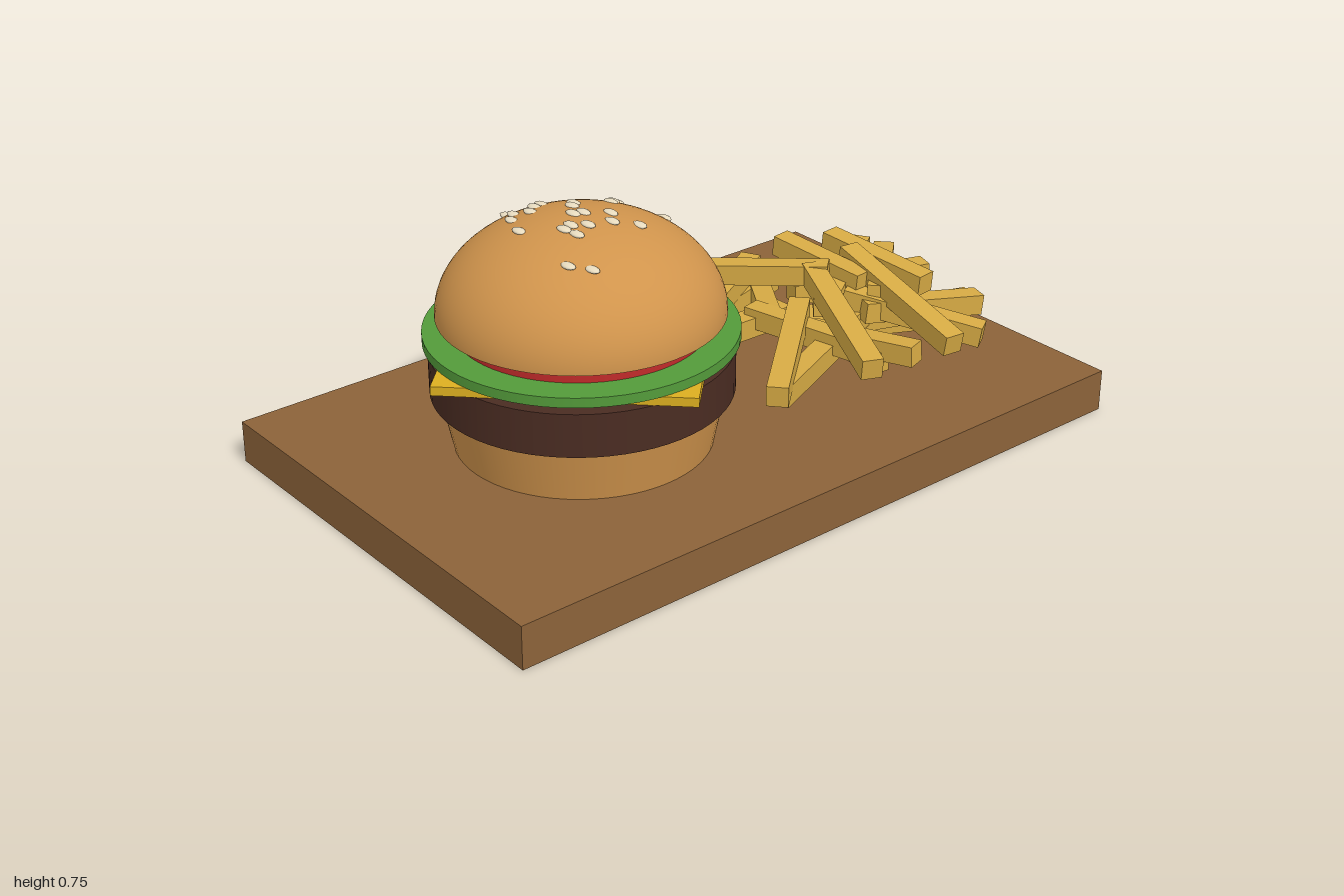
import * as THREE from 'three';

const BX = -0.335; // burger axis
const mat = (color, flatShading = false) => new THREE.MeshStandardMaterial({ color, flatShading });

export function createModel() {
  const model = new THREE.Group();
  const burger = new THREE.Group();
  burger.name = 'burger';
  burger.position.x = BX;

  const add = (parent, name, geometry, material, x = 0, y = 0, z = 0) => {
    const mesh = new THREE.Mesh(geometry, material);
    mesh.name = name;
    mesh.position.set(x, y, z);
    parent.add(mesh);
    return mesh;
  };
  // Round layer between two heights
  const layer = (name, material, rTop, rBottom, y0, y1) =>
    add(burger, name, new THREE.CylinderGeometry(rTop, rBottom, y1 - y0, 64), material, 0, (y0 + y1) / 2);

  // Serving board
  add(model, 'board', new THREE.BoxGeometry(2, 0.12, 1.27), mat(0x8b6239), 0, 0.06, 0);

  // Burger layers from the bottom up
  const bun = mat(0xd0944c);
  layer('bottomBun', bun, 0.375, 0.345, 0.12, 0.27);
  layer('patty', mat(0x4a2c22), 0.4, 0.4, 0.27, 0.39);
  const cheese = add(burger, 'cheese', new THREE.BoxGeometry(0.667, 0.025, 0.667), mat(0xdcae20), 0, 0.403, 0);
  cheese.rotation.y = Math.PI / 4;
  layer('lettuce', mat(0x539a3a), 0.413, 0.413, 0.415, 0.442);
  layer('tomato', mat(0xc02a2a), 0.333, 0.333, 0.442, 0.485);

  // Domed top bun with a flat underside
  const R = 0.378, H = 0.263, Y = 0.484;
  const dome = new THREE.SphereGeometry(R, 64, 24, 0, Math.PI * 2, 0, Math.PI / 2);
  dome.scale(1, H / R, 1);
  add(burger, 'topBun', dome, bun, 0, Y, 0);
  add(burger, 'topBunBase', new THREE.CircleGeometry(R, 64), bun, 0, Y, 0).rotation.x = Math.PI / 2;

  // Sesame seeds lying level on the dome, placed by x, z
  const seeds = [
    [-0.37, -0.27], [-0.41, -0.18], [-0.445, -0.14], [-0.39, -0.135], [-0.355, -0.165], [-0.33, -0.17],
    [-0.48, -0.06], [-0.285, -0.09], [-0.305, -0.07], [-0.34, -0.02], [-0.315, -0.01], [-0.41, 0.035],
    [-0.385, 0.03], [-0.4, 0.075], [-0.35, 0.055], [-0.255, 0.025], [-0.285, 0.07], [-0.225, 0.105],
    [-0.485, 0.15], [-0.445, 0.195], [-0.18, -0.07], [-0.15, -0.1], [-0.12, -0.12], [-0.105, -0.15], [-0.06, 0],
  ];
  const seedGeometry = new THREE.SphereGeometry(1, 12, 8).scale(0.015, 0.007, 0.025);
  const seedMaterial = mat(0xe8dcc0);
  for (const [x, z] of seeds) {
    const dx = x - BX;
    const y = Y + H * Math.sqrt(1 - (dx * dx + z * z) / (R * R));
    add(burger, 'sesameSeed', seedGeometry, seedMaterial, dx, y, z);
  }
  model.add(burger);

  // Pile of fries, each a bar between two end points: x, y, z, x, y, z
  const fries = new THREE.Group();
  fries.name = 'fries';
  const bars = [
    [0.07, 0.21, -0.1, 0.54, 0.25, -0.33],
    [0.14, 0.17, -0.2, 0.6, 0.19, -0.31],
    [0.6, 0.18, -0.39, 0.4, 0.2, -0.09],
    [0.32, 0.3, -0.29, 0.56, 0.32, -0.02],
    [0.58, 0.33, -0.25, 0.62, 0.3, 0.06],
    [0.72, 0.24, -0.22, 0.48, 0.26, 0.05],
    [0.8, 0.3, -0.14, 0.52, 0.26, 0.03],
    [0.9, 0.25, -0.14, 0.62, 0.28, 0.12],
    [0.49, 0.25, -0.1, 0.9, 0.25, 0.03],
    [0.58, 0.24, 0.1, 0.94, 0.2, 0.21],
    [0.08, 0.21, 0.3, 0.46, 0.24, -0.03],
    [0.33, 0.25, 0.4, 0.53, 0.32, -0.06],
    [0.62, 0.24, 0.42, 0.68, 0.33, -0.07],
    [0.79, 0.2, 0.37, 0.58, 0.26, 0.03],
    [0.08, 0.19, -0.12, 0.5, 0.17, -0.14],
    [0.38, 0.2, -0.15, 0.46, 0.2, 0.22],
    [0.5, 0.16, 0.26, 0.54, 0.16, -0.1],
    [0.84, 0.16, 0.14, 0.46, 0.16, -0.05],
    [0.9, 0.19, -0.05, 0.48, 0.2, 0.1],
    [0.14, 0.17, 0.24, 0.52, 0.17, 0.08],
    [0.56, 0.2, 0.34, 0.46, 0.18, 0.02],
    [0.92, 0.2, 0.19, 0.55, 0.17, 0],
    [0.75, 0.3, 0.18, 0.71, 0.33, -0.18],
  ];
  const fryMaterial = mat(0xd6aa44, true);
  for (const b of bars) {
    const p = new THREE.Vector3(b[0], b[1], b[2]);
    const q = new THREE.Vector3(b[3], b[4], b[5]);
    const mid = p.clone().add(q).multiplyScalar(0.5);
    const fry = add(fries, 'fry', new THREE.BoxGeometry(0.06, 0.06, p.distanceTo(q)), fryMaterial, mid.x, mid.y, mid.z);
    fry.lookAt(q);
  }
  model.add(fries);
  return model;
}
